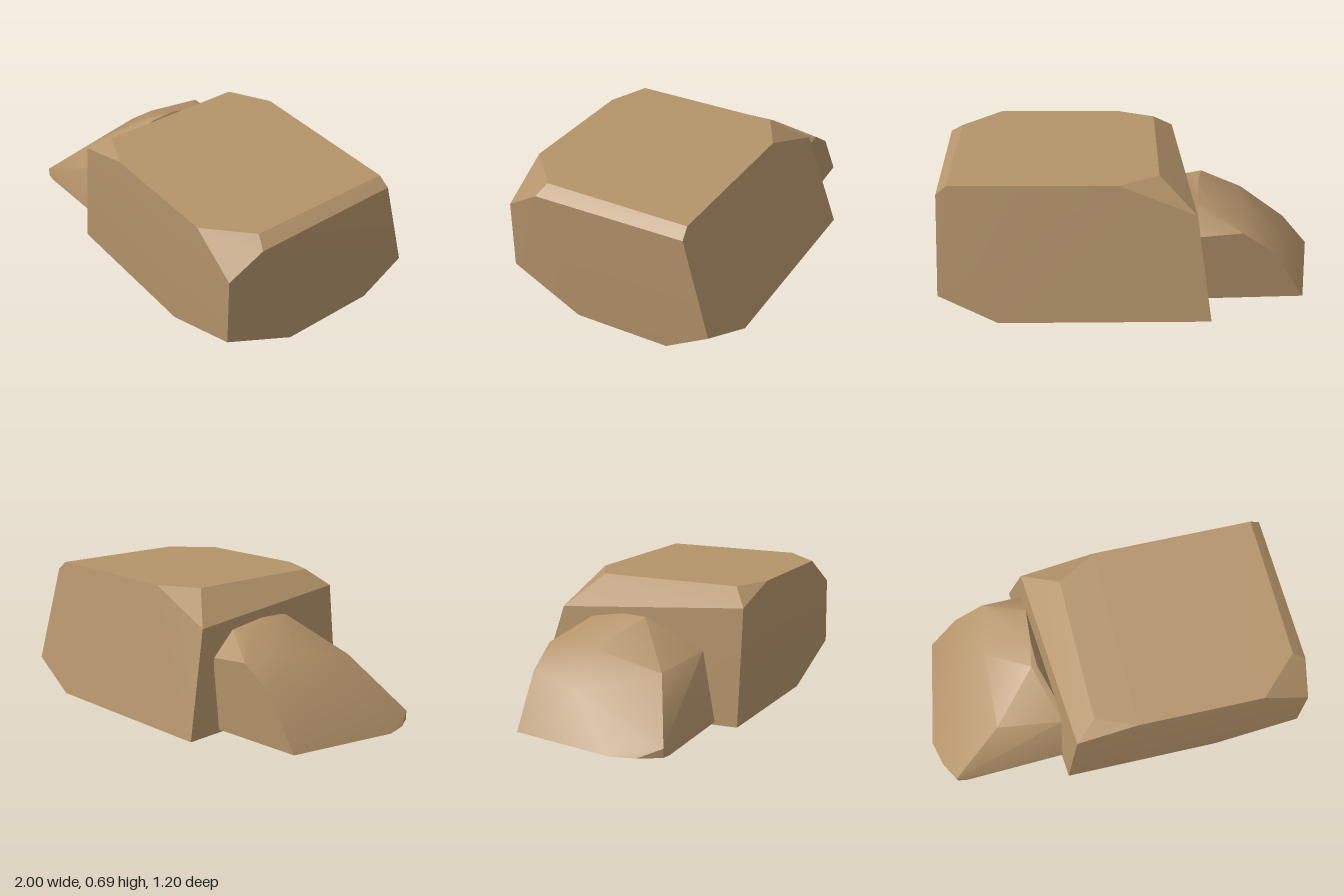
import * as THREE from 'three';
import { ConvexGeometry } from 'three/addons/geometries/ConvexGeometry.js';
import { toCreasedNormals } from 'three/addons/utils/BufferGeometryUtils.js';

const stone = new THREE.MeshStandardMaterial({ color: 0xb3936a });

// A rock is the convex hull of its chiselled corners, softened across shallow edges
function rock(name, corners, crease) {
  const hull = new ConvexGeometry(corners.map((c) => new THREE.Vector3(...c)));
  const mesh = new THREE.Mesh(toCreasedNormals(hull, crease), stone);
  mesh.name = name;
  return mesh;
}

export function createModel() {
  const group = new THREE.Group();
  group.name = 'rocks';

  // Large block: leaning back, with chipped corners
  group.add(rock('largeRock', [
    // base
    [-0.38, 0, -0.6], [0.7, 0, -0.56], [0.99, 0, -0.28],
    [0.98, 0, 0.22], [0.51, 0, 0.575], [-0.32, 0, 0.54],
    // upright edges
    [1.0, 0.14, -0.51], [0.95, 0.17, 0.6], [0.95, 0.53, 0.595],
    [0.975, 0.64, 0.42], [0.985, 0.64, -0.375],
    [-0.26, 0.6, 0.54], [-0.31, 0.53, -0.453],
    // top
    [0.93, 0.685, -0.37], [0.91, 0.685, 0.39], [0.7, 0.685, 0.58],
    [0.05, 0.685, 0.55], [-0.15, 0.685, 0.46],
    [-0.13, 0.685, -0.3], [0.08, 0.685, -0.41],
  ], 0.35));

  // Small wedge: rounded slope falling away from the block
  group.add(rock('smallRock', [
    // base
    [-0.88, 0.015, -0.4], [-1.0, 0.015, 0.17], [-0.97, 0.015, 0.3],
    [-0.91, 0.015, 0.41], [-0.86, 0.015, 0.42], [-0.3, 0.015, 0.42], [-0.31, 0.015, -0.4],
    // back face
    [-0.71, 0.285, -0.4], [-0.55, 0.395, -0.4], [-0.335, 0.38, -0.4],
    // slope
    [-0.91, 0.06, 0.41], [-0.8, 0.25, -0.12], [-0.6, 0.405, -0.12], [-0.63, 0.33, 0.27],
    // crest
    [-0.4, 0.485, -0.25], [-0.33, 0.5, -0.27], [-0.35, 0.535, -0.08],
    [-0.38, 0.535, 0.06], [-0.35, 0.53, 0.06], [-0.3, 0.44, 0.22], [-0.295, 0.37, 0.34],
  ], 0.6));

  return group;
}
